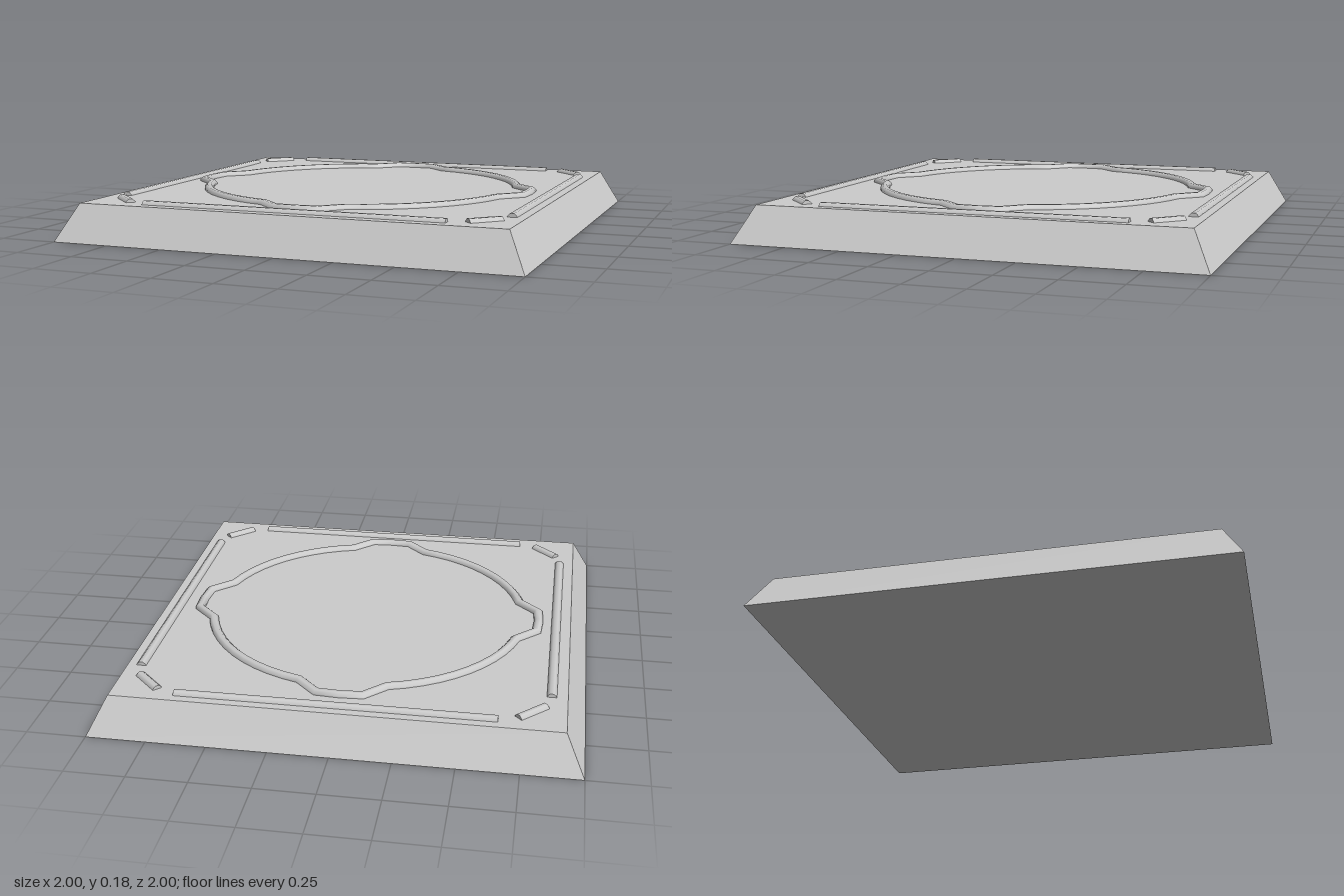
import * as THREE from 'three';

const TOP = 0.157;        // height of the slab
const R = 0.022;          // radius of the raised beading
const SIDES = 8;

export function createModel() {
  const group = new THREE.Group();
  const smooth = new THREE.MeshStandardMaterial({ color: 0xcccccc });
  const flat = new THREE.MeshStandardMaterial({ color: 0xcccccc, flatShading: true });

  const add = (name, geometry, material, parent = group) => {
    const mesh = new THREE.Mesh(geometry, material);
    mesh.name = name;
    parent.add(mesh);
    return mesh;
  };

  // Square slab with sloping sides
  const slab = new THREE.CylinderGeometry(0.92 * Math.SQRT2, Math.SQRT2, TOP, 4);
  slab.rotateY(Math.PI / 4).translate(0, TOP / 2, 0);
  add('slab', slab, flat);

  // Straight beads lying along x, flat side up
  const beadGeometry = (length) => new THREE.CylinderGeometry(R, R, length, SIDES)
    .rotateY(Math.PI / SIDES).rotateZ(Math.PI / 2);
  const edgeBead = beadGeometry(1.31);
  const cornerBead = beadGeometry(0.147);
  const beads = new THREE.Group();
  beads.name = 'borderBeads';
  beads.position.set(0.003, TOP - 0.005, -0.005);
  group.add(beads);
  for (let i = 0; i < 4; i++) {
    const a = i * Math.PI / 2;
    const edge = add('edgeBead', edgeBead, smooth, beads);
    edge.position.set(0.858 * Math.sin(a), 0, 0.858 * Math.cos(a));
    edge.rotation.y = a;
    const c = a + Math.PI / 4;
    const corner = add('cornerBead', cornerBead, smooth, beads);
    corner.position.set(1.109 * Math.sin(c), 0, 1.109 * Math.cos(c));
    corner.rotation.y = c;
  }

  // Central ring: circular arcs with a stepped-out lobe on each side
  const path = [];
  const polar = (deg, r) => {
    const a = THREE.MathUtils.degToRad(deg);
    path.push(new THREE.Vector2(r * Math.cos(a), r * Math.sin(a)));
  };
  for (let q = 0; q < 360; q += 90) {
    for (const d of [-7, 0, 7]) polar(q + d, 0.772);
    for (let d = 15; d <= 75; d += 6) polar(q + d, 0.702);
  }
  const ring = add('centralRing', sweepClosed(path), smooth);
  ring.position.set(-0.005, TOP - 0.001, -0.004);

  return group;
}

// Sweeps an octagon round a closed flat path with mitred corners
function sweepClosed(path) {
  const n = path.length, positions = [], index = [];
  path.forEach((p, i) => {
    const before = p.clone().sub(path[(i + n - 1) % n]).normalize();
    const after = path[(i + 1) % n].clone().sub(p).normalize();
    const t = before.clone().add(after).normalize();
    const mitre = 1 / t.dot(before);
    for (let j = 0; j < SIDES; j++) {
      const b = (j + 0.5) / SIDES * Math.PI * 2;
      const out = R * Math.cos(b) * mitre;
      positions.push(p.x + t.y * out, R * Math.sin(b), p.y - t.x * out);
      const k = (j + 1) % SIDES, s = i * SIDES, e = ((i + 1) % n) * SIDES;
      index.push(s + j, s + k, e + j, s + k, e + k, e + j);
    }
  });
  const geometry = new THREE.BufferGeometry();
  geometry.setAttribute('position', new THREE.Float32BufferAttribute(positions, 3));
  geometry.setIndex(index);
  geometry.computeVertexNormals();
  return geometry;
}
